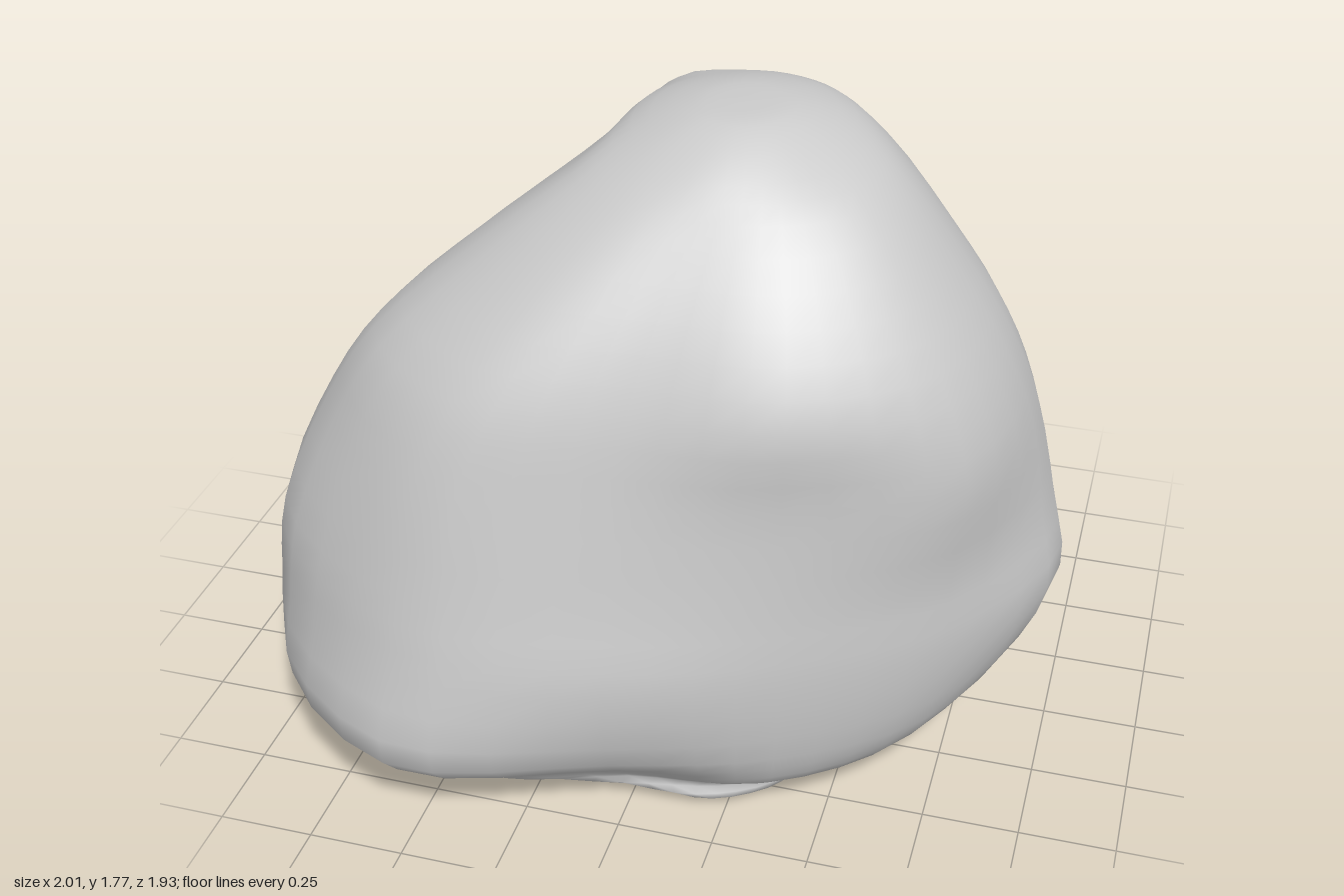
import * as THREE from 'three';

const SIDES = 12;

// Body sections: y, centre x, centre z, then radii every 30 degrees from +x towards +z
const BODY = [
  [0.08, 0, 0.15, 0.58, 0.56, 0.52, 0.5, 0.68, 0.8, 0.5, 0.4, 0.4, 0.49, 0.48, 0.5],
  [0.13, 0, 0, 0.72, 0.76, 0.73, 0.69, 0.93, 1.0, 0.63, 0.5, 0.48, 0.5, 0.5, 0.59],
  [0.25, 0, 0, 0.88, 0.84, 0.78, 0.81, 1.1, 1.13, 0.76, 0.62, 0.63, 0.7, 0.66, 0.75],
  [0.5, 0, 0, 1.0, 0.89, 0.81, 0.86, 1.06, 1.13, 0.94, 0.79, 0.81, 0.92, 0.83, 0.85],
  [0.72, 0, 0, 0.965, 0.89, 0.8, 0.82, 1.01, 1.1, 0.95, 0.83, 0.89, 0.97, 0.86, 0.86],
  [1.0, 0, 0, 0.9, 0.92, 0.79, 0.77, 0.94, 0.97, 0.83, 0.73, 0.86, 0.89, 0.8, 0.8],
  [1.22, 0.03, 0.05, 0.79, 0.82, 0.74, 0.67, 0.81, 0.84, 0.68, 0.59, 0.77, 0.81, 0.72, 0.72],
  [1.43, 0.08, 0.08, 0.61, 0.64, 0.59, 0.54, 0.62, 0.63, 0.52, 0.49, 0.65, 0.69, 0.6, 0.57],
  [1.62, 0.13, 0.1, 0.41, 0.42, 0.39, 0.37, 0.4, 0.41, 0.35, 0.37, 0.52, 0.49, 0.42, 0.4],
];

// Elliptical section for the rounded foot and crown
function ellipse(y, cx, cz, rx, rz) {
  const radii = [];
  for (let k = 0; k < SIDES; k++) {
    const a = (k / SIDES) * Math.PI * 2;
    radii.push((rx * rz) / Math.hypot(rz * Math.cos(a), rx * Math.sin(a)));
  }
  return [y, cx, cz, ...radii];
}

function sectionPoints([y, cx, cz, ...radii]) {
  return radii.map((r, k) => {
    const a = (k / SIDES) * Math.PI * 2;
    return new THREE.Vector3(cx + r * Math.cos(a), y, cz + r * Math.sin(a));
  });
}

// Smooth closed skin: splines run up each side, then around each ring
function skin(sections, ringSteps, heightSteps) {
  const rings = sections.map(sectionPoints);
  const sides = Array.from({ length: SIDES }, (_, k) =>
    new THREE.CatmullRomCurve3(rings.map((ring) => ring[k]), false, 'centripetal'));
  const pos = [], index = [];
  for (let i = 0; i <= heightSteps; i++) {
    const ring = new THREE.CatmullRomCurve3(
      sides.map((s) => s.getPoint(i / heightSteps)), true, 'catmullrom', 0.5);
    for (let j = 0; j < ringSteps; j++) {
      const p = ring.getPoint(j / ringSteps);
      pos.push(p.x, Math.max(0, p.y), p.z);
      if (i === heightSteps) continue;
      const a = i * ringSteps + j, b = i * ringSteps + ((j + 1) % ringSteps);
      index.push(a, a + ringSteps, b, b, a + ringSteps, b + ringSteps);
    }
  }
  // Close the small holes at foot and crown
  const foot = pos.length / 3, crown = foot + 1, last = heightSteps * ringSteps;
  const low = sections[0], high = sections[sections.length - 1];
  pos.push(low[1], low[0], low[2], high[1], high[0], high[2]);
  for (let j = 0; j < ringSteps; j++) {
    const n = (j + 1) % ringSteps;
    index.push(foot, j, n, crown, last + n, last + j);
  }
  const g = new THREE.BufferGeometry();
  g.setAttribute('position', new THREE.Float32BufferAttribute(pos, 3));
  g.setIndex(index);
  g.computeVertexNormals();
  return g;
}

export function createModel() {
  const sections = [
    ellipse(0, 0.17, 0.3, 0.05, 0.1),
    ellipse(0.003, 0.17, 0.3, 0.16, 0.26),
    ellipse(0.03, 0.17, 0.24, 0.28, 0.39),
    ...BODY,
    ellipse(1.71, 0.14, 0.07, 0.27, 0.3),
    ellipse(1.765, 0.15, 0.1, 0.13, 0.15),
    ellipse(1.773, 0.15, 0.11, 0.03, 0.03),
  ];
  const rock = new THREE.Mesh(
    skin(sections, 48, 42),
    new THREE.MeshStandardMaterial({ color: 0xcccccc }));
  rock.name = 'rock';
  const group = new THREE.Group();
  group.name = 'boulder';
  group.add(rock);
  return group;
}
